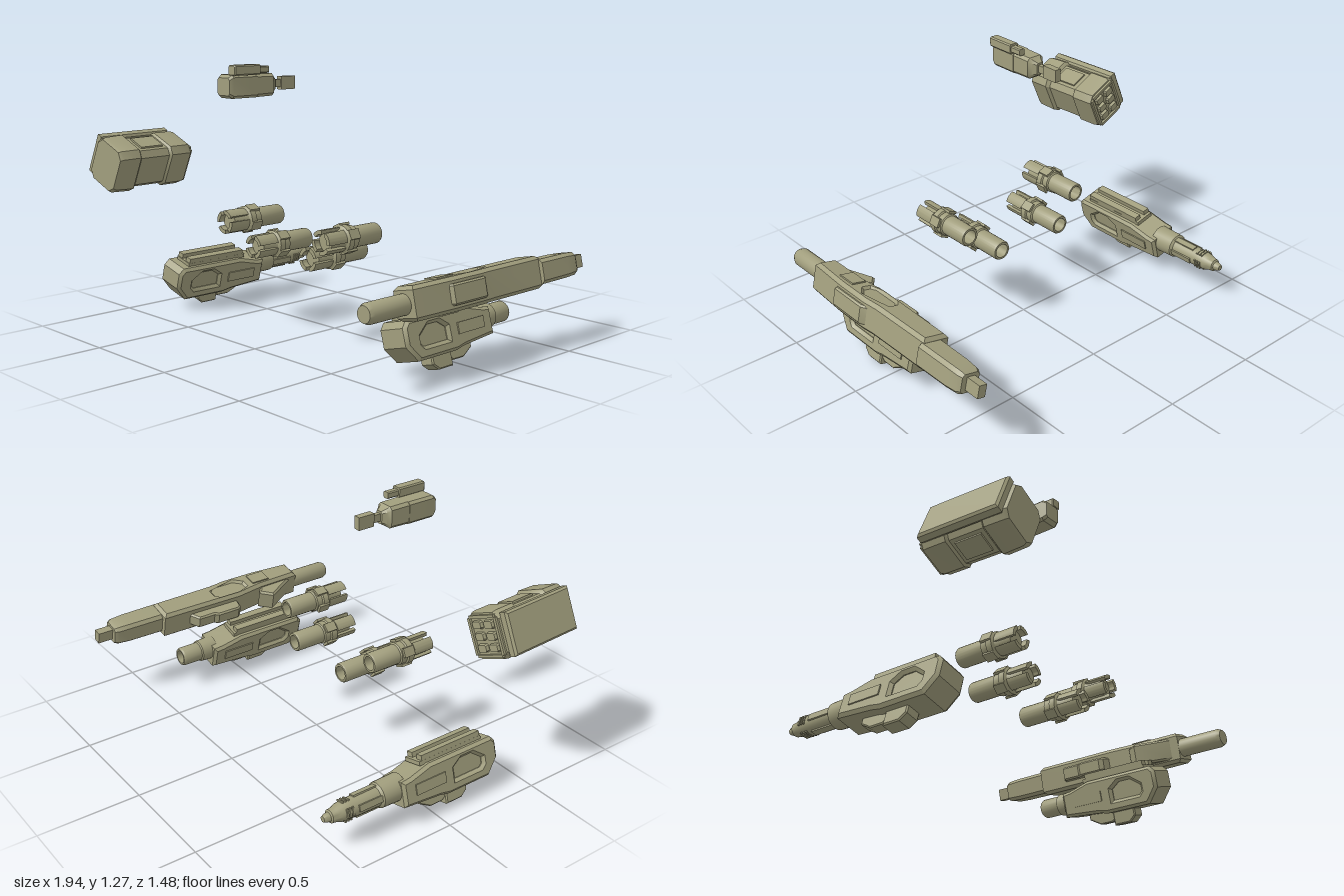
import * as THREE from 'three';
import { toCreasedNormals } from 'three/addons/utils/BufferGeometryUtils.js';

const olive = new THREE.MeshStandardMaterial({ color: 0xa19e7d });

function add(parent, name, geo) {
  const g = toCreasedNormals(geo.index ? geo.toNonIndexed() : geo, 0.55);
  const m = new THREE.Mesh(g, olive);
  m.name = name;
  parent.add(m);
  return m;
}

function group(parent, name, x, y, z, roll = 0, yaw = 0) {
  const g = new THREE.Group();
  g.name = name;
  g.position.set(x, y, z);
  g.rotation.set(0, yaw, roll);
  parent.add(g);
  return g;
}

function box(parent, name, w, h, d, x, y, z) {
  const m = add(parent, name, new THREE.BoxGeometry(w, h, d));
  m.position.set(x, y, z);
  return m;
}

// Lathe along z from [z, r] points listed with rising z on the outside
function turned(parent, name, pts, sides = 24) {
  const g = new THREE.LatheGeometry(pts.map(([z, r]) => new THREE.Vector2(r, z)), sides);
  return add(parent, name, g.rotateX(Math.PI / 2));
}

// Side profile of [z, y] points extruded symmetrically across x, with bevelled edges
function prism(parent, name, pts, half, bevel = 0.01, hole = null) {
  const v = (a) => a.map(([z, y]) => new THREE.Vector2(z, y));
  const s = new THREE.Shape(v(pts));
  if (hole) s.holes.push(new THREE.Path(v(hole)));
  const depth = 2 * (half - bevel);
  const g = new THREE.ExtrudeGeometry(s, {
    depth, bevelEnabled: true, bevelSize: bevel, bevelThickness: bevel, bevelOffset: -bevel, bevelSegments: 1,
  });
  return add(parent, name, g.translate(0, 0, -depth / 2).rotateY(-Math.PI / 2));
}

// Octagonal sections [z, halfWidth, halfHeight, cornerCut] joined with rising z
function loft(parent, name, stations) {
  const pos = [], idx = [], n = stations.length;
  for (const [z, w, h, c] of stations) {
    const ring = [[w, h - c], [w - c, h], [c - w, h], [-w, h - c], [-w, c - h], [c - w, -h], [w - c, -h], [w, c - h]];
    for (const [x, y] of ring) pos.push(x, y, z);
  }
  for (let i = 0; i < n - 1; i++) for (let j = 0; j < 8; j++) {
    const a = i * 8 + j, b = i * 8 + (j + 1) % 8;
    idx.push(a, b, b + 8, a, b + 8, a + 8);
  }
  for (let j = 1; j < 7; j++) {
    const t = (n - 1) * 8;
    idx.push(0, j + 1, j, t, t + j, t + j + 1);
  }
  const g = new THREE.BufferGeometry();
  g.setAttribute('position', new THREE.Float32BufferAttribute(pos, 3));
  g.setIndex(idx);
  return add(parent, name, g);
}

// Short tube with a hollow tail, a tabbed collar and a four-pronged head
function thruster(parent, name, x, y, z, roll) {
  const g = group(parent, name, x, y, z, roll);
  turned(g, 'thrusterTube', [[-0.09, 0], [-0.09, 0.034], [-0.17, 0.034], [-0.17, 0.044], [-0.163, 0.048], [-0.02, 0.048],
    [-0.015, 0.055], [0.015, 0.055], [0.02, 0.063], [0.05, 0.063], [0.058, 0.05], [0.075, 0.042], [0.14, 0.042], [0.14, 0]]);
  for (let i = 0; i < 4; i++) {
    const a = i * Math.PI / 2 + Math.PI / 4;
    const s = new THREE.Shape();
    s.absarc(0, 0, 0.056, a - 0.55, a + 0.55, false);
    s.absarc(0, 0, 0.038, a + 0.55, a - 0.55, true);
    const prong = new THREE.ExtrudeGeometry(s, { depth: 0.11, bevelEnabled: false, curveSegments: 6 });
    add(g, 'headProng', prong.translate(0, 0, 0.06));
    const tab = box(g, 'collarTab', 0.012, 0.045, 0.06, Math.cos(a) * 0.061, Math.sin(a) * 0.061, 0.02);
    tab.rotation.z = a;
  }
}

// Compact gun body with hexagonal side recesses, top rail and magazine
function compactGun(parent, name, x, roll) {
  const g = group(parent, name, x, 0.155, 0, roll);
  prism(g, 'gunBody', [[0.37, 0.06], [0.345, 0.088], [-0.02, 0.088], [-0.13, 0.06], [-0.18, 0.055], [-0.18, -0.065],
    [0.02, -0.08], [0.07, -0.09], [0.31, -0.09], [0.37, -0.02]], 0.078, 0.014,
  [[0.28, -0.02], [0.265, -0.035], [0.115, -0.035], [0.115, 0.02], [0.16, 0.05], [0.225, 0.05], [0.28, 0.01]]);
  box(g, 'recessFloor', 0.12, 0.11, 0.19, 0, 0.005, 0.195);
  box(g, 'railBase', 0.1, 0.02, 0.36, 0, 0.094, 0.125);
  for (const s of [-1, 1]) {
    box(g, 'railSide', 0.035, 0.025, 0.34, s * 0.032, 0.115, 0.13);
    box(g, 'sidePlate', 0.008, 0.05, 0.17, s * 0.08, 0.0, -0.03);
  }
  prism(g, 'magazine', [[0.2, -0.07], [0.2, -0.125], [0.165, -0.153], [0.075, -0.153], [0.075, -0.07]], 0.036, 0.006);
  prism(g, 'triggerGuard', [[0.08, -0.07], [0.08, -0.12], [0.06, -0.133], [-0.01, -0.133], [-0.07, -0.1], [-0.07, -0.06]], 0.026, 0.005);
  return g;
}

export function createModel() {
  const root = new THREE.Group();
  root.name = 'weaponSet';

  // Four thrusters
  thruster(root, 'outerThrusterRight', -0.37, 0.515, 0.2, 0.35);
  thruster(root, 'innerThrusterRight', -0.22, 0.41, 0.15, 0);
  thruster(root, 'innerThrusterLeft', 0.155, 0.41, 0.147, 0);
  thruster(root, 'outerThrusterLeft', 0.3, 0.515, 0.203, -0.35);

  // Left compact gun with a wide open barrel
  const left = compactGun(root, 'leftCompactGun', 0.74, 0.27);
  turned(left, 'openBarrel', [[-0.26, 0], [-0.26, 0.034], [-0.345, 0.034], [-0.345, 0.042], [-0.335, 0.048], [-0.24, 0.048],
    [-0.235, 0.055], [-0.15, 0.058], [-0.15, 0]]).position.y = 0.01;

  // Right compact gun with a stepped pointed barrel
  const right = compactGun(root, 'rightCompactGun', -0.82, -0.27);
  const barrel = group(right, 'pointedBarrel', 0, 0.015, 0);
  turned(barrel, 'barrelTube', [[-0.56, 0], [-0.56, 0.014], [-0.545, 0.02], [-0.53, 0.022], [-0.525, 0.031], [-0.5, 0.034],
    [-0.48, 0.042], [-0.43, 0.046], [-0.28, 0.048], [-0.27, 0.06], [-0.15, 0.063], [-0.15, 0]]);
  for (let i = 0; i < 4; i++) {
    const a = i * Math.PI / 2;
    const rib = box(barrel, 'barrelRib', 0.012, 0.03, 0.14, Math.cos(a) * 0.046, Math.sin(a) * 0.046, -0.33);
    rib.rotation.z = a;
    for (let k = 0; k < 3; k++) {
      const fin = box(barrel, 'coolingFin', 0.008, 0.042, 0.008, Math.cos(a) * 0.045, Math.sin(a) * 0.045, -0.43 - k * 0.015);
      fin.rotation.z = a;
    }
  }

  // Long rifle, lying on its side with its grips toward +x
  const rifle = group(root, 'longRifle', 0.855, 0.355, 0, 0.22);
  turned(rifle, 'frontTube', [[0.4, 0], [0.4, 0.045], [0.635, 0.045], [0.655, 0.036], [0.655, 0]]).position.x = -0.01;
  const deck = group(rifle, 'rifleDeck', 0, 0, 0, -Math.PI / 2);
  prism(deck, 'rifleBody', [[0.43, -0.055], [0.43, 0.055], [0.2, 0.07], [0.02, 0.07], [-0.06, 0.06], [-0.4, 0.055],
    [-0.4, -0.075], [0.05, -0.08], [0.2, -0.06]], 0.073, 0.016,
  [[0.11, -0.03], [0.09, -0.045], [-0.05, -0.045], [-0.07, -0.03], [-0.07, 0.01], [-0.05, 0.03], [0.07, 0.03], [0.11, 0]]);
  box(deck, 'recessFloor', 0.122, 0.09, 0.2, 0, -0.01, 0.02);
  prism(deck, 'foreGrip', [[0.42, -0.03], [0.38, -0.06], [0.23, -0.14], [0.17, -0.09], [0.21, -0.04]], 0.052, 0.01);
  prism(deck, 'sideMagazine', [[0.04, -0.06], [0.03, -0.125], [0.01, -0.14], [-0.11, -0.14], [-0.13, -0.125],
    [-0.22, -0.125], [-0.255, -0.07], [-0.255, -0.05]], 0.034, 0.008);
  prism(deck, 'cheekBlock', [[0.24, 0.05], [0.22, 0.085], [0.02, 0.085], [-0.03, 0.05]], 0.045, 0.008);
  for (const s of [-1, 1]) box(rifle, 'bodyPanel', 0.07, 0.012, 0.1, 0, s * 0.074, 0.21);
  loft(rifle, 'rearBarrel', [[-0.665, 0.045, 0.044, 0.012], [-0.645, 0.056, 0.052, 0.016], [-0.58, 0.06, 0.055, 0.016],
    [-0.39, 0.062, 0.056, 0.016]]).position.x = 0.012;
  box(rifle, 'rifleMuzzle', 0.04, 0.06, 0.09, 0.012, 0, -0.698);

  // Small pistol with an offset scope
  const pistol = group(root, 'smallPistol', -0.25, 1.168, 0);
  loft(pistol, 'pistolFront', [[0.3, 0.052, 0.054, 0.012], [0.44, 0.052, 0.054, 0.012], [0.46, 0.044, 0.04, 0.01]]);
  loft(pistol, 'pistolRear', [[0.165, 0.02, 0.03, 0.008], [0.185, 0.034, 0.04, 0.012], [0.2, 0.048, 0.052, 0.014], [0.31, 0.05, 0.054, 0.014]]);
  box(pistol, 'pistolBarrel', 0.022, 0.036, 0.08, 0, 0.002, 0.14);
  box(pistol, 'pistolMuzzle', 0.034, 0.062, 0.085, 0, 0.002, 0.082);
  loft(pistol, 'scopeBody', [[0.3, 0.025, 0.024, 0.006], [0.445, 0.025, 0.024, 0.006], [0.45, 0.021, 0.02, 0.005]]).position.set(0.047, 0.075, 0);
  loft(pistol, 'scopeEyepiece', [[0.24, 0.016, 0.016, 0.005], [0.31, 0.016, 0.016, 0.005]]).position.set(0.047, 0.073, 0);

  // Launcher pod with a recessed waist, a cover plate and a vented rear
  const pod = group(root, 'launcherPod', -0.826, 0.778, 0.515, -0.42, 0.06);
  loft(pod, 'podBody', [[-0.21, 0.095, 0.105, 0.03], [-0.19, 0.1, 0.11, 0.03], [-0.09, 0.1, 0.11, 0.03], [-0.08, 0.09, 0.1, 0.027],
    [0.09, 0.09, 0.1, 0.027], [0.105, 0.103, 0.115, 0.03], [0.205, 0.1, 0.112, 0.03], [0.22, 0.094, 0.105, 0.03]]);
  prism(pod, 'coverPlate', [[0.205, -0.1], [0.205, 0.1], [-0.2, 0.1], [-0.2, -0.1]], 0.024, 0.01).position.x = -0.112;
  for (const s of [-1, 1]) {
    box(pod, 'waistPanel', 0.09, 0.014, 0.13, 0, s * 0.102, 0.005);
    box(pod, 'rearFrameSide', 0.014, 0.17, 0.016, s * 0.08, 0, -0.214);
    box(pod, 'rearFrameEdge', 0.15, 0.014, 0.016, 0, s * 0.09, -0.214);
    for (let i = -1; i <= 1; i++) {
      const vent = loft(pod, 'rearVent', [[-0.225, 0.024, 0.016, 0.006], [-0.2, 0.03, 0.022, 0.007]]);
      vent.position.set(s * 0.035, i * 0.053, 0);
    }
  }
  return root;
}
